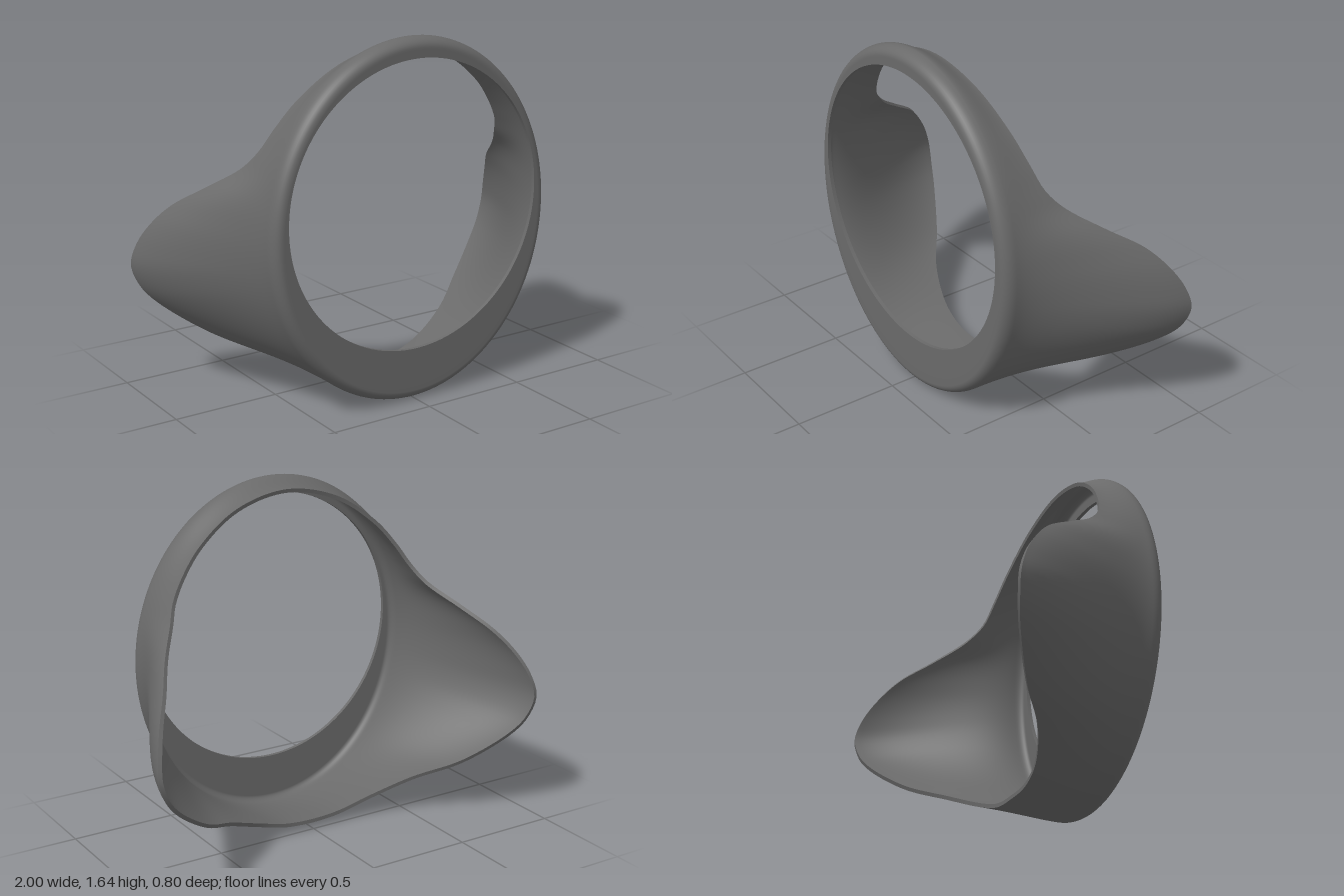
import * as THREE from 'three';

const N = 200;          // stations around the ring
const THICK = 0.018;    // shell thickness
const V = (x, y, z) => new THREE.Vector3(x, y, z);

// Rear edge of the left half, from the top of the band over the wing tip to the bottom
const rearHalf = [
  [0, 1.595, 0.225], [0.27, 1.535, 0.215], [0.47, 1.4, 0.19], [0.575, 1.28, 0.165],
  [0.64, 1.18, 0.135], [0.69, 1.1, 0.07], [0.79, 1.0, -0.07], [0.88, 0.9, -0.22],
  [0.945, 0.8, -0.31], [0.985, 0.7, -0.37], [1.0, 0.6, -0.4], [0.965, 0.5, -0.39],
  [0.9, 0.42, -0.36], [0.7, 0.27, -0.24], [0.5, 0.175, -0.1], [0.3, 0.09, -0.02],
  [0.15, 0.045, 0], [0, 0.035, 0],
];

function rearEdge() {
  const left = rearHalf.map((p) => V(...p));
  const right = left.slice(1, -1).reverse().map((p) => V(-p.x, p.y, p.z));
  const curve = new THREE.CatmullRomCurve3([...left, ...right], true, 'centripetal');
  return curve.getSpacedPoints(N).slice(0, N);
}

// Cross-section: opening -> flat front flange -> rounded corner -> flared wall -> rear edge
function section(rear) {
  const a = Math.atan2(rear.x / 0.725, (rear.y - 0.822) / 0.82);
  const rim = V(0.725 * Math.sin(a), 0.822 + 0.82 * Math.cos(a), 0.34);
  const dir = V(rim.x, rim.y - 0.9, 0).normalize();
  const open = V(dir.x * 0.653, 0.9 + dir.y * 0.653, 0.4);
  const flat = rim.clone().addScaledVector(dir, -0.045).setZ(0.4);
  const pts = [];
  for (let i = 0; i < 5; i++) pts.push(open.clone().lerp(flat, i / 5));
  for (let i = 0; i < 8; i++) {
    const t = (i / 8) * Math.PI / 2;
    pts.push(flat.clone().addScaledVector(dir, 0.045 * Math.sin(t)).setZ(0.34 + 0.06 * Math.cos(t)));
  }
  const depth = rim.z - rear.z;
  const c1 = rim.clone().add(V(0, 0, -0.27 * depth));
  const c2 = V(
    rear.x + 0.15 * (rim.x - rear.x),
    rear.y + 0.15 * (rim.y - rear.y),
    rear.z + 0.34 * depth,
  );
  return pts.concat(new THREE.CubicBezierCurve3(rim, c1, c2, rear).getPoints(28));
}

// Smooth surface through closed loops of N points
function loft(loops) {
  const pos = [], index = [];
  loops.forEach((loop) => loop.forEach((p) => pos.push(p.x, p.y, p.z)));
  for (let j = 0; j < loops.length - 1; j++) {
    for (let i = 0; i < N; i++) {
      const k = (i + 1) % N;
      const a = j * N + i, b = j * N + k, c = b + N, d = a + N;
      index.push(a, b, c, a, c, d);
    }
  }
  const g = new THREE.BufferGeometry();
  g.setAttribute('position', new THREE.Float32BufferAttribute(pos, 3));
  g.setIndex(index);
  g.computeVertexNormals();
  return g;
}

export function createModel() {
  const group = new THREE.Group();
  group.name = 'wingedBezel';
  const darkGrey = new THREE.MeshStandardMaterial({ color: 0x6a6a6a });
  darkGrey.name = 'darkGrey';
  const add = (name, geometry) => {
    const mesh = new THREE.Mesh(geometry, darkGrey);
    mesh.name = name;
    group.add(mesh);
  };

  // Outer skin
  const sections = rearEdge().map(section);
  const outer = sections[0].map((_, j) => sections.map((s) => s[j]));
  const skin = loft(outer);
  add('outerShell', skin);

  // Inner skin, offset along the outer normals
  const n = skin.attributes.normal;
  const inner = outer.map((loop, j) => loop.map((p, i) =>
    p.clone().addScaledVector(V().fromBufferAttribute(n, j * N + i), -THICK)));
  add('innerShell', loft([...inner].reverse()));

  // Edges joining both skins
  const last = outer.length - 1;
  add('rearEdge', loft([outer[last], inner[last]]));
  add('openingEdge', loft([inner[0], outer[0]]));
  return group;
}
